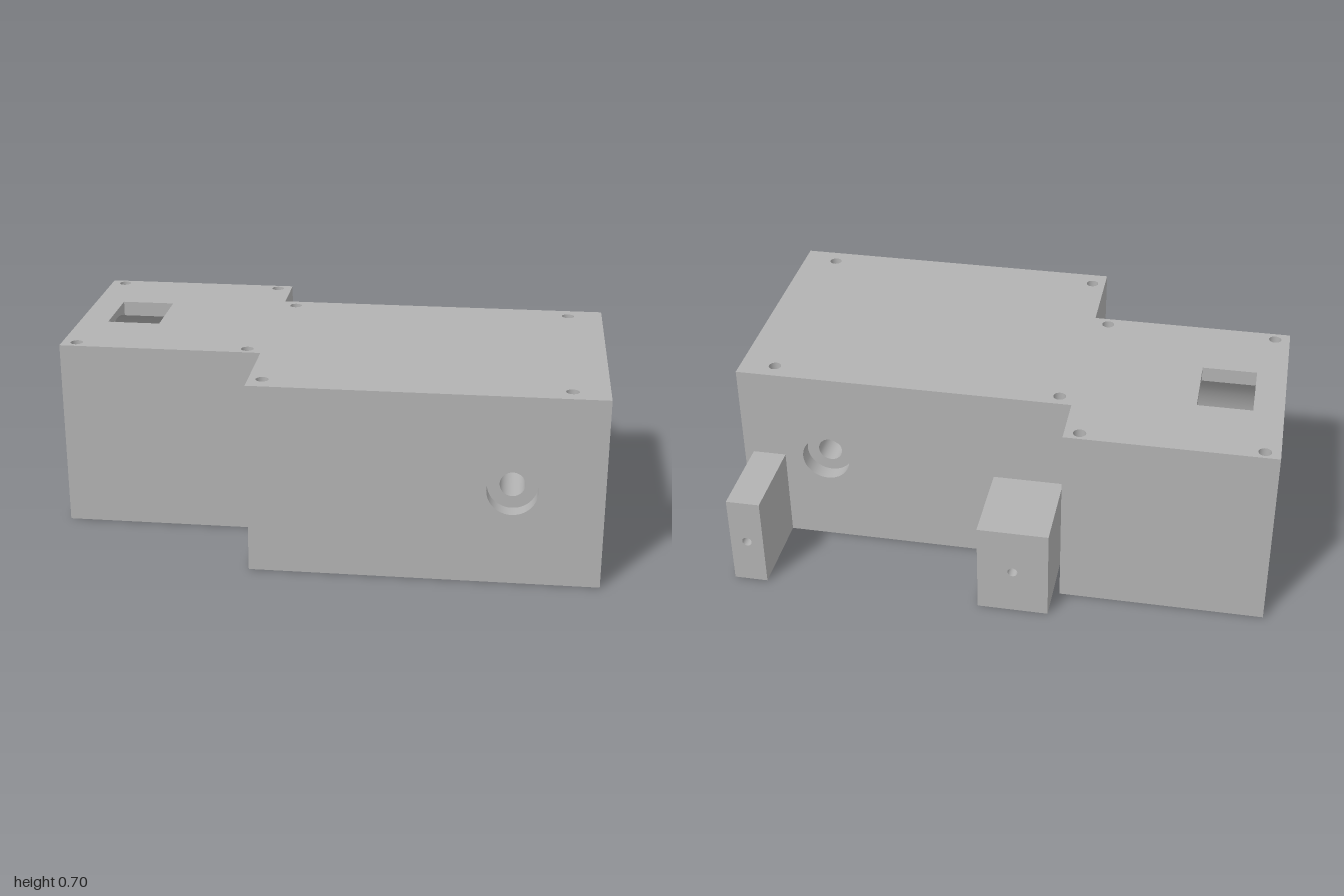
import * as THREE from 'three';

const H = 0.705, MID = 0.355, PI = Math.PI;
const grey = new THREE.MeshStandardMaterial({ color: 0xb2b2b2, side: THREE.DoubleSide });
grey.name = 'plain grey';

export function createModel() {
  const model = new THREE.Group();
  model.name = 'steppedBlock';

  const add = (name, geo, x = 0, y = 0, z = 0) => {
    const mesh = new THREE.Mesh(geo, grey);
    mesh.name = name;
    mesh.position.set(x, y, z);
    model.add(mesh);
    return mesh;
  };
  const punch = (shape, x, y, r) => shape.holes.push(new THREE.Path().absarc(x, y, r, 0, 2 * PI, true));
  const rect = (x0, y0, x1, y1) => [[x0, y0], [x1, y0], [x1, y1], [x0, y1]].map(p => new THREE.Vector2(...p));

  // Open tube whose surface faces its axis
  const bore = (r, len, start = 0, sweep = 2 * PI) => {
    const g = new THREE.CylinderGeometry(r, r, len, 48, 1, true, start, sweep);
    const i = g.index.array;
    for (let k = 0; k < i.length; k += 3) [i[k], i[k + 1]] = [i[k + 1], i[k]];
    g.attributes.normal.array.forEach((v, k, a) => { a[k] = -v; });
    return g;
  };

  // Stepped plan outline (x, z), counterclockwise from above
  const outline = [[-1, 0.305], [-0.25, 0.305], [-0.25, 0.645], [1, 0.645],
    [1, -0.32], [-0.25, -0.32], [-0.25, -0.525], [-1, -0.525]];
  const screws = [[-0.945, -0.49], [-0.305, -0.49], [-0.945, 0.265], [-0.305, 0.265],
    [-0.2, -0.27], [0.87, -0.255], [-0.2, 0.575], [0.87, 0.575]];
  const screwR = 0.023;

  // Round chamber in the smaller block, opened by a slot in the top
  const R = 0.32, cz = -0.1125, half = 0.1275, slot0 = -0.89, slot1 = -0.69;
  const alpha = Math.asin(half / R), slotY = MID + R * Math.cos(alpha);
  const cham0 = -0.95, cham1 = -0.3, endR = 0.1;

  // Top and bottom faces
  for (const s of [-1, 1]) {
    const shape = new THREE.Shape(outline.map(([x, z]) => new THREE.Vector2(x, s * z)));
    screws.forEach(([x, z]) => punch(shape, x, s * z, screwR));
    if (s < 0) shape.holes.push(new THREE.Path(rect(slot0, -cz - half, slot1, -cz + half)));
    const g = new THREE.ShapeGeometry(shape, 24).rotateX(s * PI / 2);
    add(s < 0 ? 'topFace' : 'bottomFace', g, 0, s < 0 ? H : 0, 0);
  }

  // Side walls; some carry a round hole [distance along wall, radius]
  const hx = 0.68, outerR = 0.09, innerR = 0.045, sink = 0.06;
  const wallHoles = { 3: null, 2: [hx + 0.25, outerR], 4: [1 - hx, outerR], 7: [cz + 0.525, endR] };
  outline.forEach(([x, z], i) => {
    const [x2, z2] = outline[(i + 1) % outline.length];
    const shape = new THREE.Shape(rect(0, 0, Math.hypot(x2 - x, z2 - z), H));
    if (wallHoles[i]) punch(shape, wallHoles[i][0], MID, wallHoles[i][1]);
    add('sideWall', new THREE.ShapeGeometry(shape, 24), x, 0, z).rotation.y = Math.atan2(z - z2, x2 - x);
  });

  // Vertical screw holes
  screws.forEach(([x, z]) => add('screwHole', bore(screwR, H), x, H / 2, z));

  // Cross bore with a counterbore at both ends
  const front = 0.645, back = -0.32;
  const boreZ = (name, r, z0, z1) =>
    add(name, bore(r, z1 - z0).rotateX(PI / 2), hx, MID, (z0 + z1) / 2);
  boreZ('frontCounterbore', outerR, front - sink, front);
  boreZ('crossBore', innerR, back + sink, front - sink);
  boreZ('backCounterbore', outerR, back, back + sink);
  const ring = () => new THREE.RingGeometry(innerR, outerR, 48);
  add('frontStep', ring(), hx, MID, front - sink);
  add('backStep', ring().rotateY(PI), hx, MID, back + sink);

  // Chamber walls, the middle part open below the slot
  const boreX = (name, r, x0, x1, ...arc) =>
    add(name, bore(r, x1 - x0, ...arc).rotateZ(PI / 2), (x0 + x1) / 2, MID, cz);
  boreX('endHole', endR, -1, cham0);
  boreX('chamberOuter', R, cham0, slot0);
  boreX('chamberMiddle', R, slot0, slot1, PI / 2 + alpha, 2 * PI - 2 * alpha);
  boreX('chamberInner', R, slot1, cham1);
  add('chamberOuterEnd', new THREE.RingGeometry(endR, R, 48).rotateY(PI / 2), cham0, MID, cz);
  add('chamberInnerEnd', new THREE.CircleGeometry(R, 48).rotateY(-PI / 2), cham1, MID, cz);

  // Slot walls: two straight, two cut by the chamber's curve
  for (const s of [-1, 1]) {
    const flat = new THREE.PlaneGeometry(slot1 - slot0, H - slotY);
    if (s > 0) flat.rotateY(PI);
    add('slotLongWall', flat, (slot0 + slot1) / 2, (H + slotY) / 2, cz + s * half);
    const arch = new THREE.Shape();
    arch.moveTo(half, H);
    arch.lineTo(-half, H);
    arch.lineTo(-half, slotY);
    arch.absarc(0, MID, R, PI / 2 + alpha, PI / 2 - alpha, true);
    arch.closePath();
    add('slotEndWall', new THREE.ShapeGeometry(arch, 24).rotateY(-s * PI / 2), s < 0 ? slot0 : slot1, 0, cz);
  }

  // Drilled mounting lugs on the back
  for (const [x0, x1] of [[-0.225, 0.035], [0.84, 0.965]]) {
    const shape = new THREE.Shape(rect(x0, 0, x1, 0.352));
    punch(shape, (x0 + x1) / 2, 0.176, 0.018);
    const g = new THREE.ExtrudeGeometry(shape, { depth: 0.325, bevelEnabled: false, curveSegments: 16 });
    add('mountingLug', g, 0, 0, -0.645);
  }
  return model;
}
